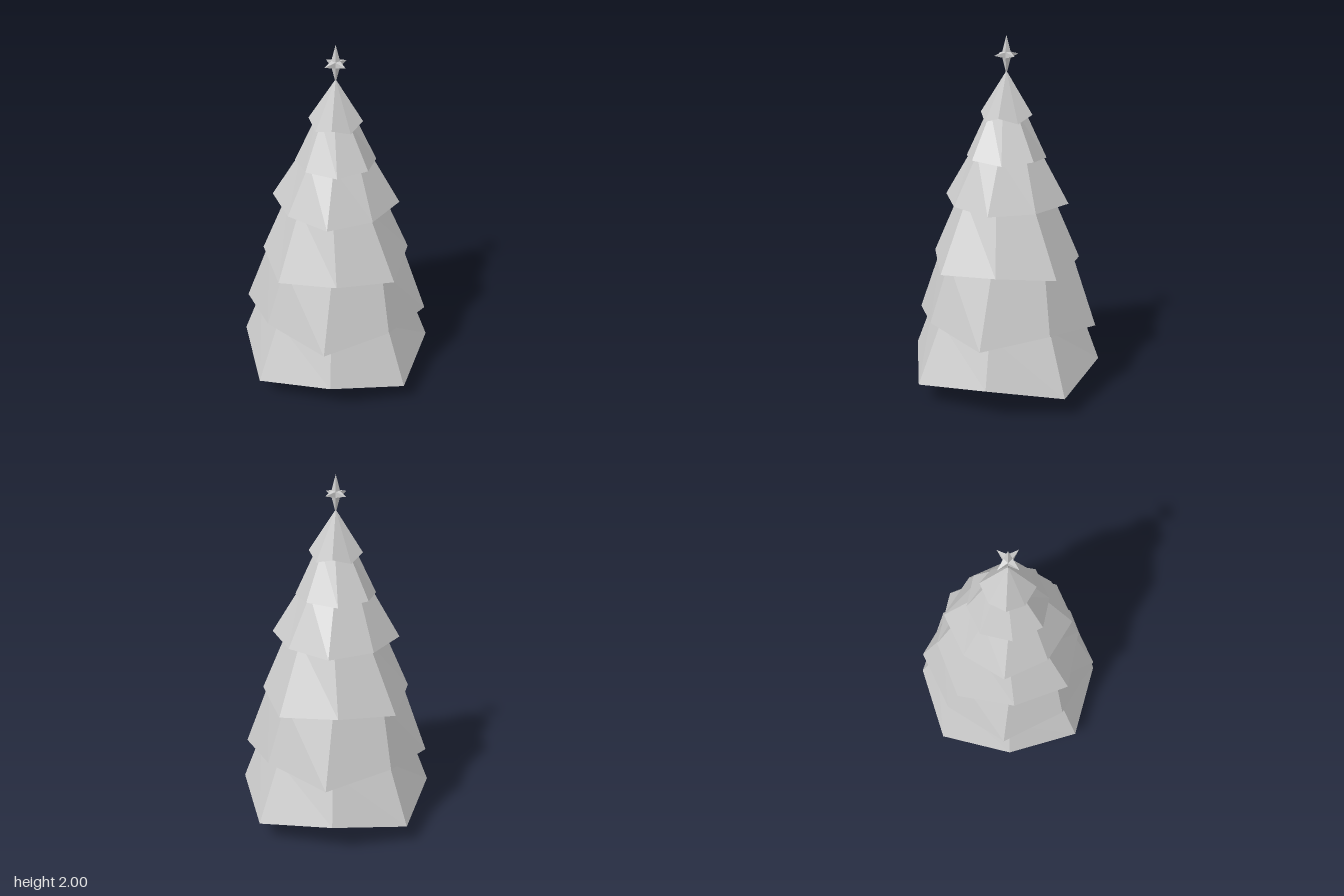
import * as THREE from 'three';

const SIDES = 8;
const material = new THREE.MeshStandardMaterial({ color: 0xcccccc, flatShading: true });

// Ring of 8 points; axis-facing and diagonal points may differ in radius and height.
function ring(rAxis, yAxis, rDiag = rAxis, yDiag = yAxis, twistDeg = 0) {
  return Array.from({ length: SIDES }, (_, i) => {
    const a = (i * Math.PI * 2) / SIDES + THREE.MathUtils.degToRad(twistDeg);
    const r = i % 2 ? rDiag : rAxis;
    return new THREE.Vector3(r * Math.cos(a), i % 2 ? yDiag : yAxis, r * Math.sin(a));
  });
}

// Skin a list of rings, leaving out triangles that collapse at a point.
function skin(rings) {
  const points = [];
  const add = (a, b, c) => {
    if (a.distanceTo(b) > 1e-6 && b.distanceTo(c) > 1e-6 && c.distanceTo(a) > 1e-6) points.push(a, b, c);
  };
  for (let k = 0; k < rings.length - 1; k++) {
    const lo = rings[k], hi = rings[k + 1];
    for (let i = 0; i < SIDES; i++) {
      const j = (i + 1) % SIDES;
      add(lo[i], hi[i], hi[j]);
      add(lo[i], hi[j], lo[j]);
    }
  }
  const geometry = new THREE.BufferGeometry().setFromPoints(points);
  geometry.computeVertexNormals();
  return geometry;
}

function addMesh(parent, name, geometry) {
  const mesh = new THREE.Mesh(geometry, material);
  mesh.name = name;
  parent.add(mesh);
  return mesh;
}

export function createModel() {
  const tree = new THREE.Group();
  tree.name = 'tree';

  // Trunk, running up into the hollow under the lowest branches
  addMesh(tree, 'trunk', new THREE.CylinderGeometry(0.045, 0.045, 0.3, SIDES)).position.y = 0.15;

  // Branch tiers: rim (axis radius, y, diagonal radius, y, twist) and top (radius, y)
  const tiers = [
    { rim: [0.577, 0.12, 0.533, 0.185, 0], top: [0.43, 0.46] },
    { rim: [0.478, 0.455, 0.517, 0.4, 3.9], top: [0.373, 0.8] },
    { rim: [0.443, 0.75, 0.407, 0.78, -3.9], top: [0.26, 1.13] },
    { rim: [0.322, 1.1, 0.351, 1.1, 4.2], top: [0.187, 1.38] },
    { rim: [0.233, 1.355, 0.219, 1.34, -5.2], top: [0.1, 1.6] },
    { rim: [0.131, 1.545, 0.145, 1.58, 5], top: [0, 1.81] },
  ];
  const branches = new THREE.Group();
  branches.name = 'branches';
  tree.add(branches);
  let inner = ring(0, 0.27); // peak of the hollow underside
  tiers.forEach(({ rim, top }, i) => {
    const upper = ring(...top);
    addMesh(branches, `branchTier${i + 1}`, skin([inner, ring(...rim), upper]));
    inner = upper; // the next tier's underside starts here
  });

  // Six-pointed star: a four-sided spike on each face of a tiny cube
  const star = new THREE.Group();
  star.name = 'star';
  star.position.y = 1.895;
  tree.add(star);
  const core = 0.016;
  const up = new THREE.Vector3(0, 1, 0);
  for (const sign of [1, -1]) {
    for (const [x, y, z, tip] of [[1, 0, 0, 0.076], [0, 1, 0, 0.105], [0, 0, 1, 0.076]]) {
      const length = tip - core;
      const spike = new THREE.ConeGeometry(core * Math.SQRT2, length, 4, 1, true, Math.PI / 4);
      spike.translate(0, core + length / 2, 0);
      const direction = new THREE.Vector3(x, y, z).multiplyScalar(sign);
      addMesh(star, 'starPoint', spike).quaternion.setFromUnitVectors(up, direction);
    }
  }
  return tree;
}
